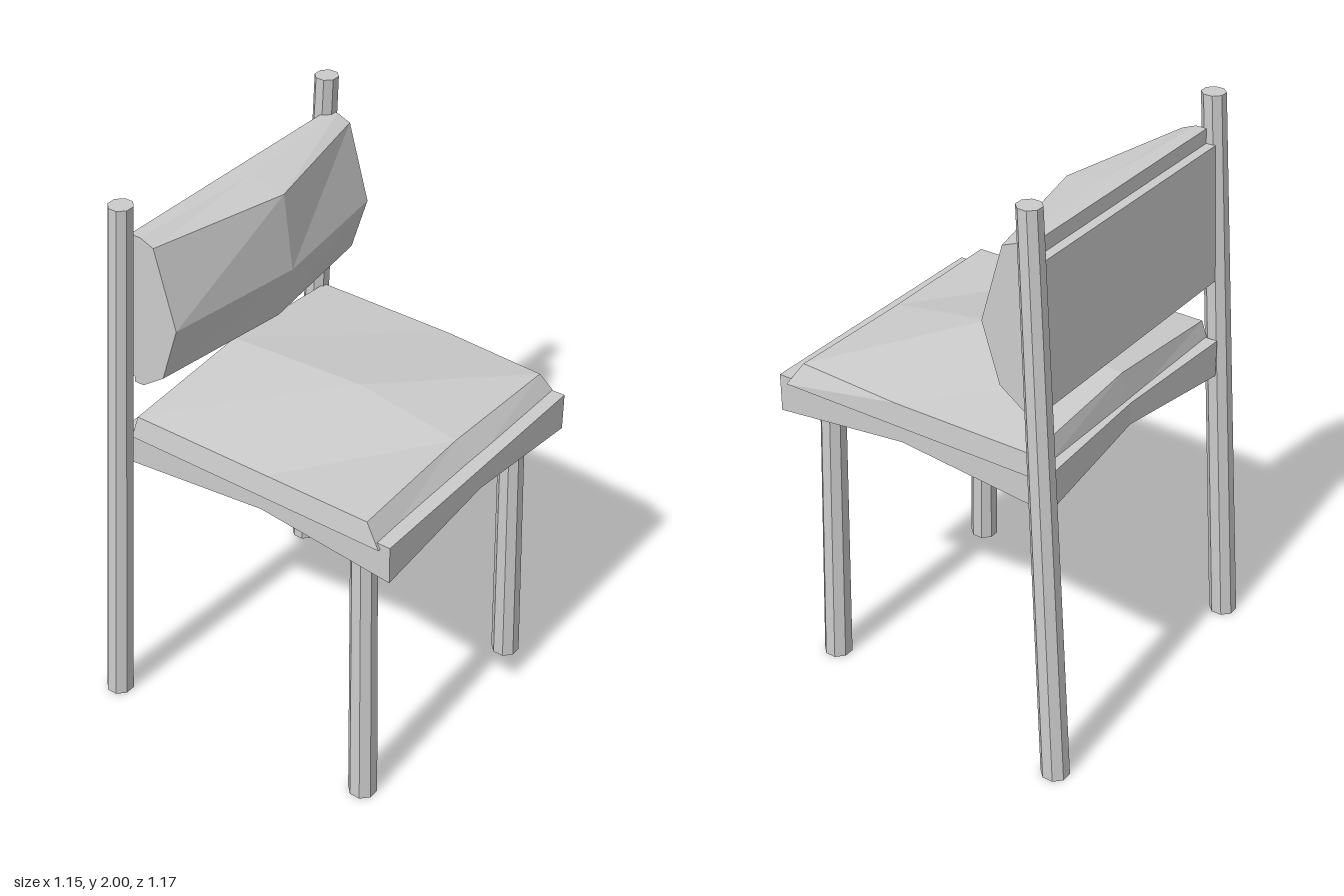
import * as THREE from 'three';

const material = new THREE.MeshStandardMaterial({ color: 0xcccccc, flatShading: true });

function addPart(group, name, geometry) {
  const flat = geometry.index ? geometry.toNonIndexed() : geometry;
  flat.computeVertexNormals();
  const mesh = new THREE.Mesh(flat, material);
  mesh.name = name;
  group.add(mesh);
}

// Tapered eight-sided pole between two points
function pole(bottom, top, rBottom, rTop) {
  const a = new THREE.Vector3(...bottom), b = new THREE.Vector3(...top);
  const h = b.y - a.y;
  const g = new THREE.CylinderGeometry(rTop, rBottom, h, 8, 1);
  g.rotateY(Math.PI / 8);
  // shear so both ends stay level
  const p = g.attributes.position;
  for (let i = 0; i < p.count; i++) {
    const t = p.getY(i) / h + 0.5;
    p.setXYZ(i, p.getX(i) + a.x + (b.x - a.x) * t, a.y + h * t, p.getZ(i) + a.z + (b.z - a.z) * t);
  }
  return g;
}

// Box of 2 x 1 x 2 segments whose grid points (i, j, k in -1..1) are placed by a rule
function mappedBox(rule) {
  const g = new THREE.BoxGeometry(2, 2, 2, 2, 1, 2);
  const p = g.attributes.position;
  for (let n = 0; n < p.count; n++) {
    p.setXYZ(n, ...rule(Math.round(p.getX(n)), Math.round(p.getY(n)), Math.round(p.getZ(n))));
  }
  return g;
}

export function createModel() {
  const chair = new THREE.Group();
  chair.name = 'chair';
  const midZ = -0.02;

  // Leaning back posts and front legs
  for (const s of [1, -1]) {
    const side = s > 0 ? 'Left' : 'Right';
    addPart(chair, 'backPost' + side, pole([-0.53, 0, s * 0.542], [-0.4, s > 0 ? 1.985 : 2, s * 0.513], 0.049, 0.041));
    addPart(chair, 'frontLeg' + side, pole([0.457, 0, s * 0.44], [0.437, 1.07, s * 0.421], 0.05, 0.044));
  }

  // Seat base, arched underneath along all four edges
  addPart(chair, 'seatBase', mappedBox((i, j, k) => {
    const x = i < 0 ? (k === 0 ? -0.455 : -0.48) : i > 0 ? 0.575 : 0.08;
    const y = j > 0 ? (i === 0 ? 1.115 : 1.12) : (i === 0 || k === 0) ? 1.04 : 0.985;
    return [x, y, midZ + k * 0.5];
  }));

  // Seat cushion, bevelled at the front and crowned in the middle
  addPart(chair, 'seatCushion', mappedBox((i, j, k) => {
    if (j < 0) return [[-0.44, 0.08, 0.54][i + 1], 1.1, midZ + k * 0.51];
    const x = [-0.42, 0.1, k === 0 ? 0.475 : 0.488][i + 1];
    const y = k === 0 ? [1.22, 1.245, 1.185][i + 1] : 1.18;
    const z = midZ + (k < 0 ? -(i > 0 ? 0.48 : 0.505) : k * 0.498);
    return [x, y, z];
  }));

  // Backrest cushion: end profile swept across, swelling to the middle profile
  const end = [[-0.42, 1.32], [-0.385, 1.32], [-0.3, 1.38], [-0.235, 1.58], [-0.31, 1.85], [-0.36, 1.87], [-0.4, 1.87]];
  const middle = [[-0.42, 1.32], [-0.385, 1.32], [-0.23, 1.385], [-0.17, 1.58], [-0.2, 1.845], [-0.335, 1.87], [-0.4, 1.87]];
  const sweep = (points, steps) => new THREE.ExtrudeGeometry(
    new THREE.Shape(points.map(([x, y]) => new THREE.Vector2(x, y))),
    { depth: 1, steps, bevelEnabled: false }).translate(0, 0, midZ - 0.5);
  const cushion = sweep(end, 2);
  const p = cushion.attributes.position;
  for (let n = 0; n < p.count; n++) {
    if (Math.abs(p.getZ(n) - midZ) > 0.01) continue;
    const m = end.findIndex(([x, y]) => Math.hypot(x - p.getX(n), y - p.getY(n)) < 0.005);
    p.setXY(n, ...middle[m]);
  }
  addPart(chair, 'backrestCushion', cushion);

  // Thin board behind the backrest cushion, leaving a ledge along its top
  addPart(chair, 'backrestBoard', sweep([[-0.46, 1.34], [-0.415, 1.34], [-0.4, 1.82], [-0.435, 1.82]], 1));

  return chair;
}
